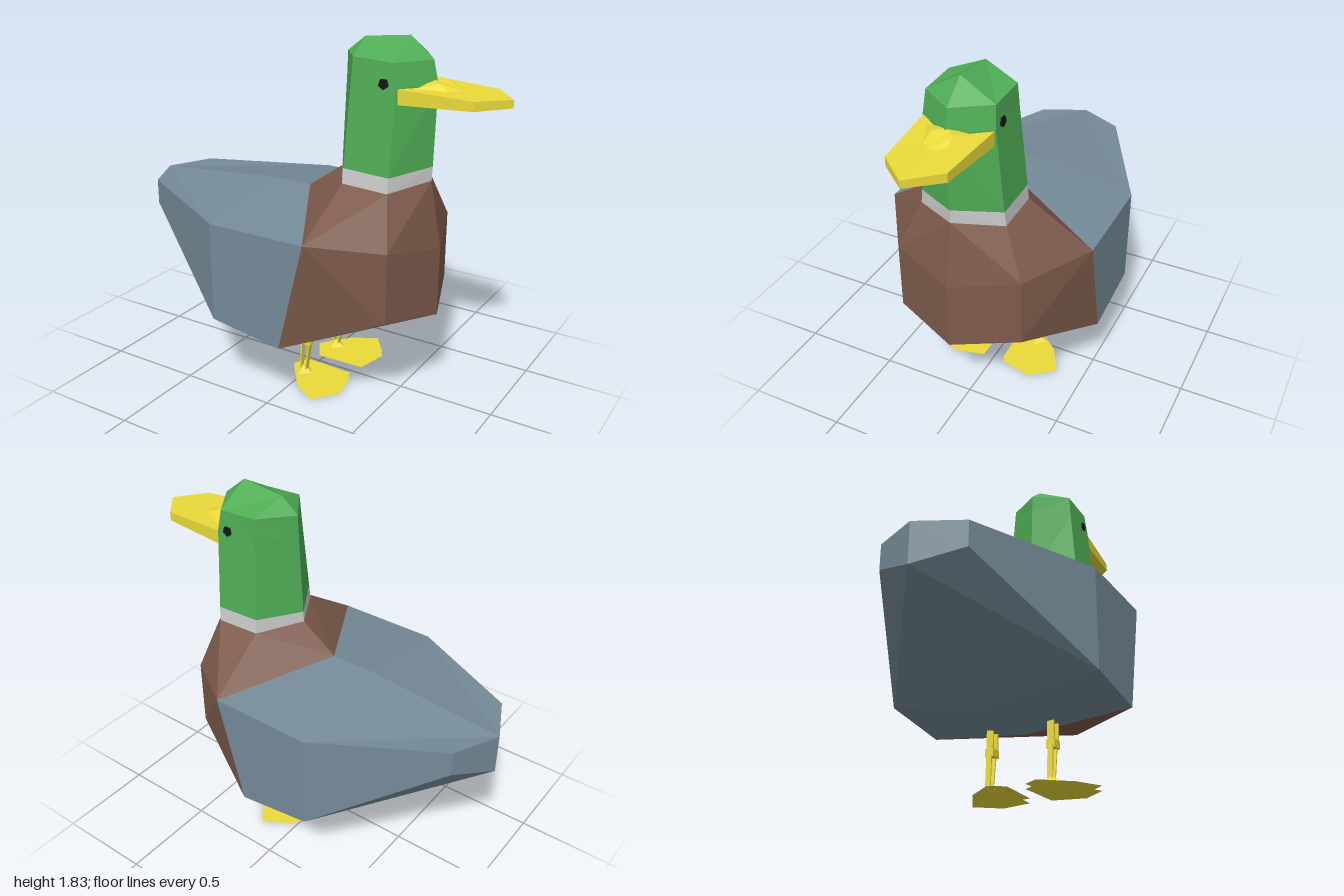
import * as THREE from 'three';

const mat = (color, side = THREE.FrontSide) =>
  new THREE.MeshStandardMaterial({ color, flatShading: true, side });
const slate = mat(0x758a97), brown = mat(0x7d5a4b), green = mat(0x4fad55);
const ringGrey = mat(0xcccccc), yellow = mat(0xeada3a, THREE.DoubleSide), black = mat(0x151515);

// Faceted shell from polygons of the +z half, mirrored to -z, each facing away from centre
function shell(name, material, centre, polygons) {
  const mid = new THREE.Vector3(...centre), pos = [];
  const put = (...pts) => pts.forEach(p => pos.push(p.x, p.y, p.z));
  for (const poly of polygons) {
    const v = poly.map(p => new THREE.Vector3(...p));
    for (let i = 1; i < v.length - 1; i++) {
      let [a, b, c] = [v[0], v[i], v[i + 1]];
      const n = b.clone().sub(a).cross(c.clone().sub(a));
      const out = a.clone().add(b).add(c).divideScalar(3).sub(mid);
      if (n.dot(out) < 0) [b, c] = [c, b];
      put(a, b, c);
      put(...[a, c, b].map(p => new THREE.Vector3(p.x, p.y, -p.z)));
    }
  }
  const g = new THREE.BufferGeometry();
  g.setAttribute('position', new THREE.Float32BufferAttribute(pos, 3));
  g.computeVertexNormals();
  const m = new THREE.Mesh(g, material);
  m.name = name;
  return m;
}

// Quads joining two rows of points
const bridge = (r, s) => r.slice(1).map((p, i) => [r[i], p, s[i + 1], s[i]]);

function mesh(name, geometry, material, x = 0, y = 0, z = 0) {
  const m = new THREE.Mesh(geometry, material);
  m.name = name;
  m.position.set(x, y, z);
  return m;
}

// One leg with its webbed foot, for side s = +1 or -1 along z
function leg(s) {
  const g = new THREE.Group();
  g.name = s > 0 ? 'rightLeg' : 'leftLeg';
  const z = 0.167 * s;
  // thin slats front and back of the shank, leaning a little
  for (const [x0, x1] of [[0.005, -0.005], [0.055, 0.025]]) {
    const slat = new THREE.BoxGeometry(0.008, 0.2, 0.028);
    const p = slat.attributes.position;
    for (let i = 0; i < p.count; i++)
      p.setX(i, p.getX(i) + (p.getY(i) > 0 ? x0 : x1));
    g.add(mesh('shank', slat, yellow, 0, 0.145, z));
  }
  for (const x of [0.012, 0.058])
    g.add(mesh('thigh', new THREE.BoxGeometry(0.012, 0.12, 0.035), yellow, x, 0.29, z));
  g.add(mesh('knee', new THREE.BoxGeometry(0.06, 0.04, 0.045), yellow, 0.03, 0.215, z));
  const ankle = mesh('ankle', new THREE.ConeGeometry(0.055, 0.035, 4), yellow, 0.005, 0.042, z);
  g.add(ankle);
  // web: upper and lower sheet, splayed outward
  const outline = [[-0.08, 0.13], [-0.03, 0.05], [0.23, 0.06], [0.268, 0.23], [0.17, 0.355], [0.04, 0.28]];
  const web = new THREE.Shape(outline.map(([x, d]) => new THREE.Vector2(x, d * s)));
  for (const y of [0, 0.025])
    g.add(mesh('webbedFoot', new THREE.ShapeGeometry(web).rotateX(Math.PI / 2), yellow, 0, y, 0));
  return g;
}

export function createModel() {
  const duck = new THREE.Group();
  duck.name = 'duck';

  // Shared corners of the body
  const collar = [-0.055, 1.015, 0], wingTop = [0.25, 0.93, 0.55], wingLow = [0.11, 0.365, 0.55];
  const belly = [0.07, 0.3, 0], backTop = [-0.28, 1.015, 0], backSide = [-0.28, 0.93, 0.55];
  const rumpSide = [-0.28, 0.42, 0.55], rump = [-0.28, 0.345, 0];
  const tailTop = [-1, 0.955, 0], tailSide = [-0.89, 0.955, 0.23];
  const tailLow = [-1, 0.745, 0], tailSideLow = [-0.89, 0.825, 0.23];
  const breast = [0.57, 0.88, 0.33], breastLow = [0.57, 0.525, 0.33];
  const keel = [0.685, 0.825, 0], keelLow = [0.685, 0.47, 0];

  // Half rings up the neck, back to front
  const neck0 = [[0.135, 1.15, 0], [0.265, 1.14, 0.222], [0.505, 1.13, 0.222], [0.625, 1.155, 0]];
  const neck1 = [[0.138, 1.205, 0], [0.267, 1.215, 0.215], [0.507, 1.205, 0.215], [0.628, 1.225, 0]];
  const head0 = [[0.158, 1.62, 0], [0.282, 1.62, 0.18], [0.515, 1.62, 0.18], [0.638, 1.62, 0]];
  const head1 = [[0.162, 1.73, 0], [0.287, 1.74, 0.172], [0.495, 1.73, 0.172], [0.612, 1.73, 0]];
  const crownBack = [0.255, 1.805, 0], crown = [0.49, 1.83, 0];

  duck.add(shell('wingsAndTail', slate, [-0.2, 0.7, 0], [
    [backTop, collar, wingTop, backSide],
    [tailTop, backTop, backSide, tailSide],
    [tailTop, tailSide, tailSideLow, tailLow],
    [tailSide, backSide, rumpSide, tailSideLow],
    [backSide, wingTop, wingLow, rumpSide],
    [tailLow, tailSideLow, rumpSide, rump],
    [rump, rumpSide, wingLow, belly],
  ]));

  duck.add(shell('breast', brown, [0.25, 0.7, 0], [
    [collar, wingTop, neck0[1], neck0[0]],
    [wingTop, breast, neck0[2], neck0[1]],
    [breast, keel, neck0[3], neck0[2]],
    [wingTop, breast, breastLow, wingLow],
    [breast, keel, keelLow, breastLow],
    [wingLow, breastLow, keelLow, belly],
  ]));

  duck.add(shell('neckRing', ringGrey, [0.38, 1.18, 0], bridge(neck0, neck1)));

  duck.add(shell('head', green, [0.38, 1.5, 0], [
    ...bridge(neck1, head0),
    ...bridge(head0, head1),
    [crownBack, head1[0], head1[1]],
    [crownBack, crown, head1[2], head1[1]],
    [crown, head1[2], head1[3]],
  ]));

  // Flat bill with a small ridge
  const billTop = [[0.52, 1.615, 0], [0.52, 1.615, 0.175], [0.875, 1.598, 0.147], [1, 1.593, 0]];
  const billLow = [[0.52, 1.543, 0], [0.52, 1.543, 0.175], [0.875, 1.553, 0.147], [1, 1.555, 0]];
  duck.add(shell('bill', yellow, [0.7, 1.58, 0], [billTop, billLow, ...bridge(billTop, billLow)]));
  duck.add(shell('billRidge', yellow, [0.66, 1.6, 0], [
    [[0.62, 1.64, 0], [0.66, 1.635, 0.05], [0.76, 1.603, 0]],
    [[0.62, 1.64, 0], [0.66, 1.635, 0.05], [0.58, 1.612, 0.12]],
    [[0.66, 1.635, 0.05], [0.58, 1.612, 0.12], [0.72, 1.604, 0.06]],
    [[0.66, 1.635, 0.05], [0.72, 1.604, 0.06], [0.76, 1.603, 0]],
  ]));

  for (const s of [1, -1]) {
    const eye = new THREE.CylinderGeometry(0.027, 0.027, 0.016, 5).rotateX(Math.PI / 2);
    duck.add(mesh('eye', eye, black, 0.452, 1.632, 0.178 * s));
    duck.add(leg(s));
  }
  return duck;
}
